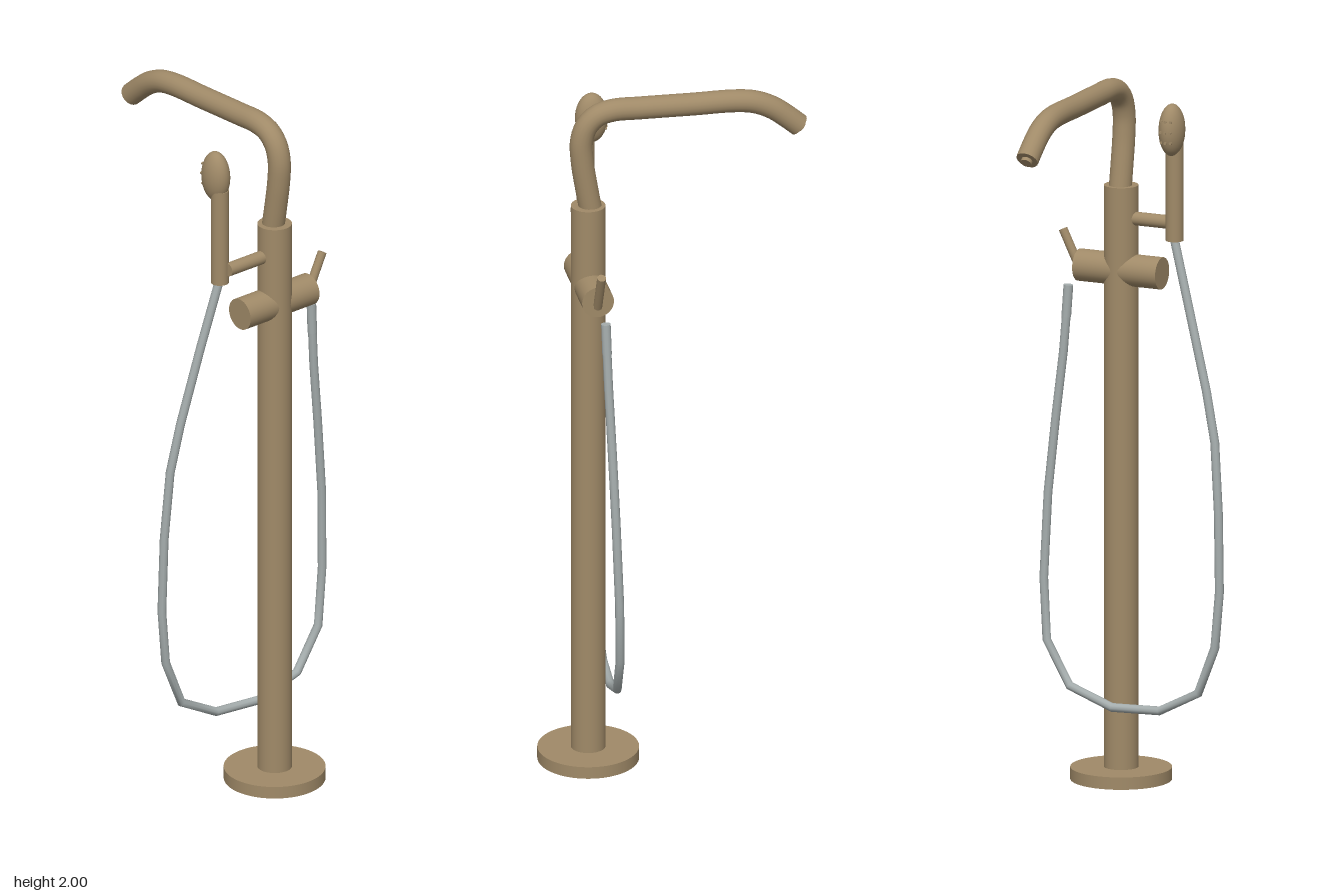
import * as THREE from 'three';

const V = (x, y, z) => new THREE.Vector3(x, y, z);

// Straight-segment path: tube rings land exactly on the given points
class PolyPath extends THREE.Curve {
  constructor(points) { super(); this.points = points; }
  getPoint(t, target = new THREE.Vector3()) {
    const s = Math.min(Math.max(t, 0), 1) * (this.points.length - 1);
    const i = Math.min(Math.floor(s), this.points.length - 2);
    return target.lerpVectors(this.points[i], this.points[i + 1], s - i);
  }
  getPointAt(u, target) { return this.getPoint(u, target); }
  getTangentAt(u, target) { return this.getTangent(u, target); }
}

export function createModel() {
  const group = new THREE.Group();
  const bronze = new THREE.MeshStandardMaterial({ color: 0xa08a68 });
  bronze.name = 'brushed bronze';
  const steel = new THREE.MeshStandardMaterial({ color: 0xa6aeae });
  steel.name = 'hose steel';

  const add = (name, geometry, material = bronze) => {
    const mesh = new THREE.Mesh(geometry, material);
    mesh.name = name;
    group.add(mesh);
    return mesh;
  };
  // Capped cylinder between two points
  const rod = (name, a, b, r, sides = 24, material = bronze) => {
    const mesh = add(name, new THREE.CylinderGeometry(r, r, a.distanceTo(b), sides), material);
    mesh.position.lerpVectors(a, b, 0.5);
    mesh.quaternion.setFromUnitVectors(V(0, 1, 0), b.clone().sub(a).normalize());
    return mesh;
  };

  const X = 0.063, Z = 0.245;

  // Floor flange and column
  rod('baseFlange', V(X, 0, Z), V(X, 0.035, Z), 0.141, 64);
  rod('column', V(X, 0.035, Z), V(X, 1.685, Z), 0.048, 40);

  // Curved spout
  const spoutPath = new THREE.CatmullRomCurve3([
    [1.66, 0.236], [1.74, 0.25], [1.82, 0.262], [1.88, 0.264], [1.925, 0.25],
    [1.955, 0.22], [1.968, 0.175], [1.968, 0.1], [1.966, -0.05], [1.965, -0.17],
    [1.957, -0.225], [1.935, -0.275], [1.905, -0.315], [1.875, -0.35],
  ].map(([y, z]) => V(X, y, z)));
  add('spout', new THREE.TubeGeometry(spoutPath, 60, 0.032, 20));

  // Spout outlet: closing disc and small aerator
  const tip = spoutPath.getPoint(1), dir = spoutPath.getTangent(1);
  const along = (d) => tip.clone().addScaledVector(dir, d);
  rod('spoutCap', along(-0.012), along(-0.0005), 0.0315, 20);
  rod('aerator', along(-0.005), along(0.01), 0.016, 16);

  // Mixer valve and lever
  rod('valveBody', V(-0.064, 1.446, 0.243), V(0.191, 1.446, 0.243), 0.045, 32);
  rod('lever', V(0.186, 1.43, 0.243), V(0.241, 1.543, 0.243), 0.0125, 16);

  // Hand shower holder
  rod('holderArm', V(-0.108, 1.594, 0.242), V(X, 1.594, 0.242), 0.019, 20);

  // Hand shower: handle, egg-shaped head and spray nozzles
  const HX = -0.115;
  rod('showerHandle', V(HX, 1.55, 0.217), V(HX, 1.83, 0.217), 0.025, 24);
  const head = add('showerHead', new THREE.SphereGeometry(1, 28, 20));
  head.scale.set(0.035, 0.074, 0.046);
  head.position.set(HX, 1.867, 0.2);
  for (const dy of [-0.03, 0, 0.03]) {
    for (const dx of [-0.014, 0, 0.014]) {
      const depth = 0.046 * Math.sqrt(1 - (dx / 0.035) ** 2 - (dy / 0.074) ** 2);
      rod('sprayNozzle', V(HX + dx, 1.867 + dy, 0.203 - depth),
        V(HX + dx, 1.867 + dy, 0.197 - depth), 0.004, 8);
    }
  }

  // Hanging hose
  const hosePoints = [
    [-0.115, 1.555, 0.215], [-0.17, 1.36, 0.198], [-0.23, 1.14, 0.182], [-0.26, 1.0, 0.173],
    [-0.275, 0.8, 0.165], [-0.28, 0.58, 0.161], [-0.266, 0.42, 0.161], [-0.212, 0.285, 0.166],
    [-0.09, 0.222, 0.173], [0.06, 0.215, 0.182], [0.195, 0.262, 0.19], [0.268, 0.385, 0.196],
    [0.279, 0.56, 0.2], [0.27, 0.8, 0.208], [0.249, 1.02, 0.215], [0.229, 1.2, 0.221],
    [0.216, 1.38, 0.226],
  ].map((p) => V(...p));
  add('hose', new THREE.TubeGeometry(new PolyPath(hosePoints), hosePoints.length - 1, 0.0125, 10), steel);
  rod('hoseEnd', V(0.2215, 1.3, 0.2237), V(0.216, 1.39, 0.226), 0.0135, 12, steel);

  return group;
}
